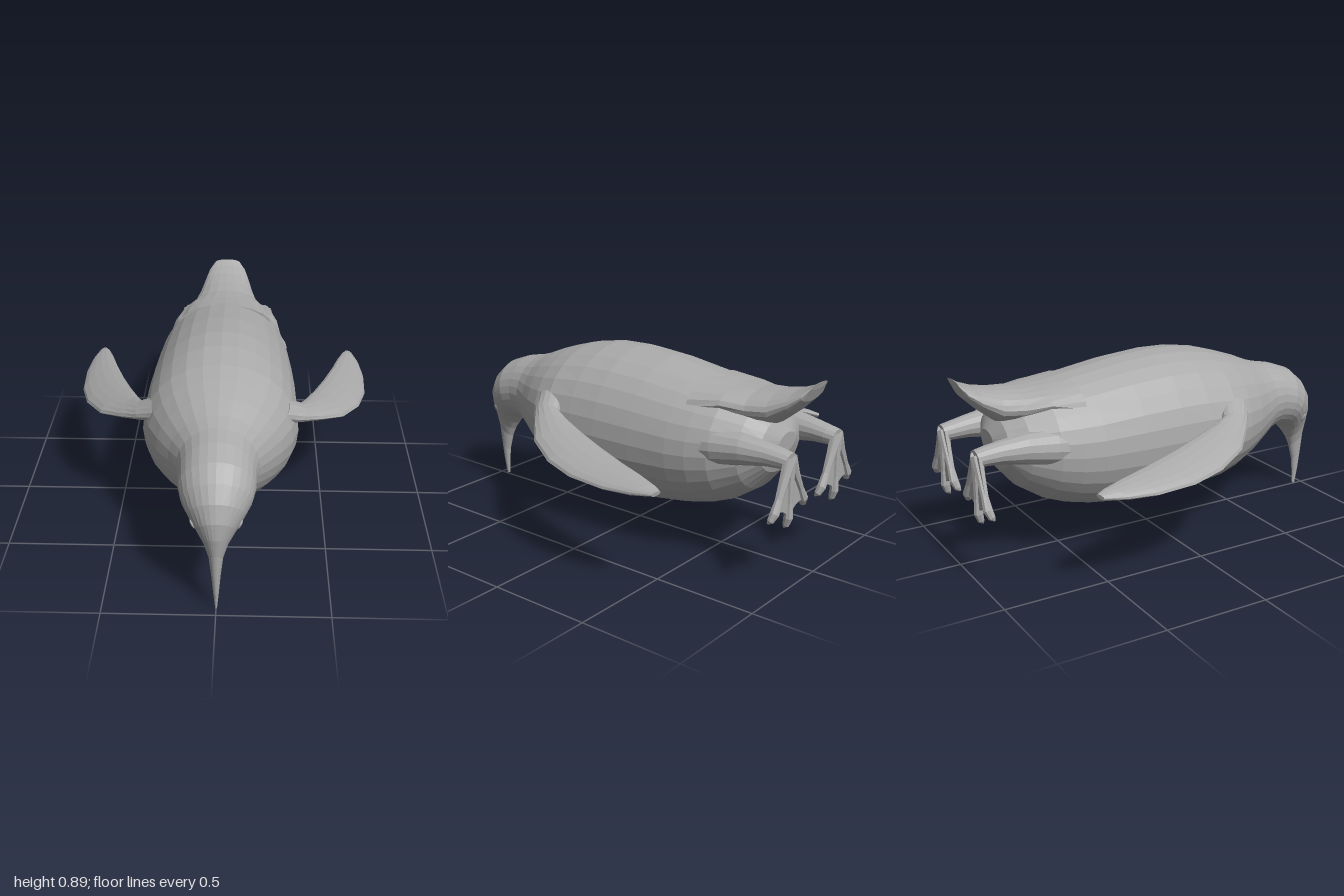
import * as THREE from 'three';

const V = (x, y, z) => new THREE.Vector3(x, y, z);

// Skin a list of elliptical rings { c: centre, u, v: half axes }, closed at both ends
function loft(rings, sides) {
  const pos = [], index = [];
  for (const { c, u, v } of rings) {
    for (let i = 0; i < sides; i++) {
      const a = (i / sides) * Math.PI * 2;
      const p = c.clone().addScaledVector(u, Math.cos(a)).addScaledVector(v, Math.sin(a));
      pos.push(p.x, p.y, p.z);
    }
  }
  const last = rings.length - 1;
  pos.push(...rings[0].c.toArray(), ...rings[last].c.toArray());
  const capA = rings.length * sides, capB = capA + 1;
  const along = rings[1].c.clone().sub(rings[0].c);
  const flip = rings[0].u.clone().cross(rings[0].v).dot(along) < 0;
  const tri = (a, b, c) => (flip ? index.push(a, c, b) : index.push(a, b, c));
  for (let i = 0; i < sides; i++) {
    const j = (i + 1) % sides;
    for (let r = 0; r < last; r++) {
      const a = r * sides, b = a + sides;
      tri(a + i, a + j, b + j);
      tri(a + i, b + j, b + i);
    }
    tri(capA, j, i);
    tri(capB, last * sides + i, last * sides + j);
  }
  const g = new THREE.BufferGeometry();
  g.setAttribute('position', new THREE.Float32BufferAttribute(pos, 3));
  g.setIndex(index);
  const flat = g.toNonIndexed(); // faceted surface
  flat.computeVertexNormals();
  return flat;
}

// Station: upper z, y, lower z, y, half width
const station = ([tz, ty, bz, by, w]) => ({
  c: V(0, (ty + by) / 2, (tz + bz) / 2),
  u: V(w, 0, 0),
  v: V(0, (ty - by) / 2, (tz - bz) / 2),
});

// Round tube through [x, y, z, rx, r] points, for the legs and toes
function limb(points, s, sides) {
  const cs = points.map(p => V(p[0] * s, p[1], p[2]));
  return loft(points.map((p, i) => {
    const t = cs[Math.min(i + 1, cs.length - 1)].clone().sub(cs[Math.max(i - 1, 0)]).normalize();
    const v = t.clone().cross(V(1, 0, 0)).normalize();
    const u = v.clone().cross(t);
    return { c: cs[i], u: u.multiplyScalar(p[3]), v: v.multiplyScalar(p[4]) };
  }), sides);
}

export function createModel() {
  const model = new THREE.Group();
  model.name = 'slidingBird';
  const grey = new THREE.MeshStandardMaterial({ color: 0xaaaaaa });
  grey.name = 'plain grey';
  const add = (name, geometry, parent = model) => {
    const m = new THREE.Mesh(geometry, grey);
    m.name = name;
    parent.add(m);
    return m;
  };

  // Torso from rump to neck, head, and down-curved beak in one skin
  add('bodyHeadAndBeak', loft([
    [-0.84, 0.63, -0.835, 0.54, 0.07],
    [-0.80, 0.70, -0.80, 0.44, 0.17],
    [-0.72, 0.76, -0.72, 0.345, 0.235],
    [-0.60, 0.81, -0.60, 0.265, 0.295],
    [-0.50, 0.83, -0.50, 0.225, 0.32],
    [-0.40, 0.845, -0.40, 0.20, 0.335],
    [-0.20, 0.875, -0.20, 0.17, 0.35],
    [0.00, 0.89, 0.00, 0.16, 0.36],
    [0.15, 0.885, 0.15, 0.168, 0.363],
    [0.30, 0.86, 0.30, 0.19, 0.362],
    [0.40, 0.83, 0.40, 0.22, 0.335],
    [0.50, 0.795, 0.50, 0.26, 0.285],
    [0.59, 0.757, 0.60, 0.31, 0.225],
    [0.66, 0.735, 0.69, 0.367, 0.183],
    [0.75, 0.717, 0.735, 0.383, 0.17],
    [0.85, 0.68, 0.77, 0.383, 0.167],
    [0.92, 0.62, 0.80, 0.375, 0.152],
    [0.97, 0.55, 0.83, 0.355, 0.122],
    [0.997, 0.47, 0.86, 0.32, 0.085],
    [1.0, 0.39, 0.885, 0.28, 0.052],
    [0.988, 0.30, 0.905, 0.235, 0.031],
    [0.98, 0.20, 0.928, 0.15, 0.02],
    [0.97, 0.10, 0.935, 0.08, 0.013],
    [0.955, 0.0, 0.937, 0.01, 0.005],
  ].map(station), 28));

  // Upswept wedge tail
  add('tail', loft([
    [-0.45, 0.835, -0.45, 0.62, 0.24],
    [-0.60, 0.819, -0.60, 0.69, 0.20],
    [-0.70, 0.815, -0.72, 0.67, 0.165],
    [-0.80, 0.825, -0.81, 0.675, 0.145],
    [-0.89, 0.842, -0.89, 0.74, 0.122],
    [-0.95, 0.865, -0.95, 0.80, 0.10],
    [-0.985, 0.887, -0.975, 0.855, 0.068],
  ].map(station), 20));

  for (const s of [1, -1]) {
    const side = s > 0 ? 'left' : 'right';

    // Flipper: inner x, z, outer x, z, half thickness; it slopes down outward
    const droop = x => 0.61 - 0.38 * (x - 0.36);
    add(side + 'Flipper', loft([
      [0.30, 0.23, 0.30, 0.39, 0.05],
      [0.365, 0.20, 0.385, 0.335, 0.035],
      [0.40, 0.12, 0.47, 0.265, 0.028],
      [0.45, -0.01, 0.58, 0.16, 0.026],
      [0.505, -0.17, 0.67, -0.01, 0.025],
      [0.56, -0.35, 0.715, -0.18, 0.024],
      [0.595, -0.48, 0.725, -0.37, 0.022],
      [0.63, -0.59, 0.71, -0.51, 0.019],
      [0.65, -0.63, 0.685, -0.61, 0.01],
    ].map(([ix, iz, ox, oz, t]) => ({
      c: V(s * (ix + ox) / 2, (droop(ix) + droop(ox)) / 2, (iz + oz) / 2),
      u: V(s * (ox - ix) / 2, (droop(ox) - droop(ix)) / 2, (oz - iz) / 2),
      v: V(s * t * 0.36, t * 0.93, 0),
    })), 14));

    // Leg trailing straight back
    add(side + 'Leg', limb([
      [0.20, 0.55, -0.45, 0.10, 0.10],
      [0.215, 0.575, -0.62, 0.085, 0.085],
      [0.215, 0.59, -0.75, 0.068, 0.07],
      [0.205, 0.59, -0.86, 0.055, 0.053],
      [0.20, 0.585, -0.93, 0.05, 0.045],
      [0.20, 0.58, -0.975, 0.045, 0.04],
    ], s, 14));

    // Webbed foot hanging from the ankle
    const foot = new THREE.Group();
    foot.name = side + 'Foot';
    model.add(foot);
    for (const [name, x, y] of [['innerToe', 0.065, 0.35], ['middleToe', 0.20, 0.29], ['outerToe', 0.33, 0.35]]) {
      const mix = (k, z, r) => [0.2 + (x - 0.2) * k, 0.59 + (y - 0.59) * k, z, r, r];
      add(name, limb([
        mix(0, -0.968, 0.03), mix(0.3, -0.972, 0.022), mix(0.65, -0.975, 0.017),
        mix(0.88, -0.975, 0.022), mix(1, -0.965, 0.016), mix(1.05, -0.955, 0.004),
      ], s, 8), foot);
    }
    const web = new THREE.Shape();
    web.moveTo(s * 0.155, 0.60);
    web.lineTo(s * 0.245, 0.60);
    web.lineTo(s * 0.32, 0.375);
    web.quadraticCurveTo(s * 0.25, 0.39, s * 0.20, 0.325);
    web.quadraticCurveTo(s * 0.15, 0.39, s * 0.08, 0.375);
    web.closePath();
    const webGeo = new THREE.ExtrudeGeometry(web, { depth: 0.014, bevelEnabled: false, curveSegments: 6 });
    add('web', webGeo.translate(0, 0, -0.978), foot);

    // Small eye bead lying on the cheek
    const eye = add(side + 'Eye', new THREE.SphereGeometry(0.025, 12, 8));
    eye.scale.set(0.7, 1, 0.3);
    eye.position.set(s * 0.1, 0.415, 0.912);
    eye.lookAt(s * 1.1, -0.05, 1.08);
  }
  return model;
}
